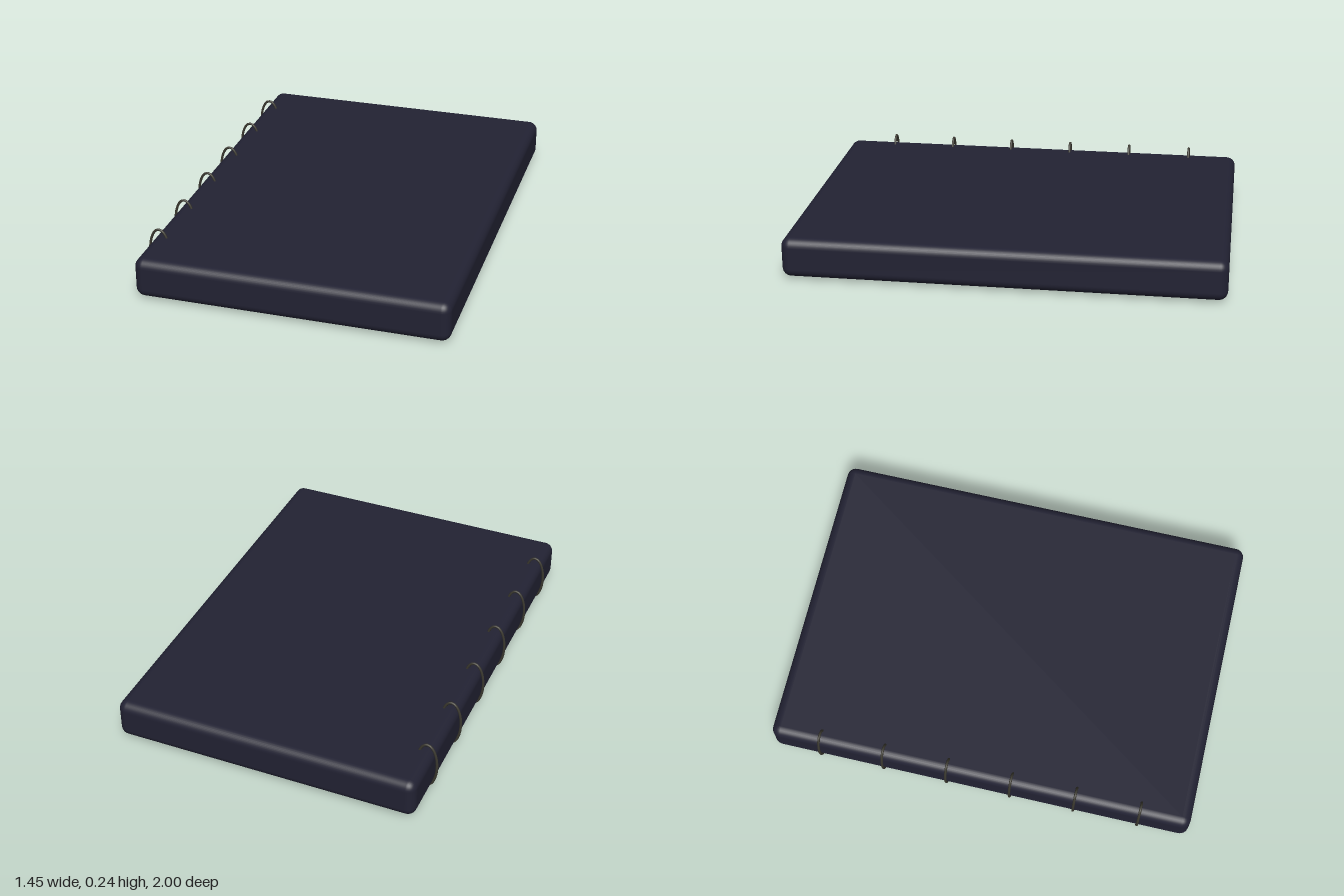
import * as THREE from 'three';
import { RoundedBoxGeometry } from 'three/addons/geometries/RoundedBoxGeometry.js';

export function createModel() {
  const model = new THREE.Group();
  model.name = 'ringNotebook';

  const coverMat = new THREE.MeshStandardMaterial({ color: 0x222233 });
  coverMat.name = 'dark navy cover';
  const ringMat = new THREE.MeshStandardMaterial({ color: 0x3a382f });
  ringMat.name = 'dark bronze wire';

  // Closed cover block with softly rounded edges
  const cover = new THREE.Mesh(new RoundedBoxGeometry(1.43, 0.186, 2, 4, 0.042), coverMat);
  cover.name = 'cover';
  cover.position.set(0.011, 0.104, 0);
  model.add(cover);

  // Oval wire loop, taller than wide, standing across the spine
  class OvalCurve extends THREE.Curve {
    getPoint(t, target = new THREE.Vector3()) {
      const a = t * Math.PI * 2;
      return target.set(Math.cos(a) * 0.047, Math.sin(a) * 0.114, 0);
    }
  }
  const ringGeo = new THREE.TubeGeometry(new OvalCurve(), 40, 0.006, 8, true);

  // Six evenly spaced binding rings
  const rings = new THREE.Group();
  rings.name = 'bindingRings';
  for (let i = 0; i < 6; i++) {
    const ring = new THREE.Mesh(ringGeo, ringMat);
    ring.name = `bindingRing${i + 1}`;
    ring.position.set(-0.673, 0.12, (i - 2.5) * 0.305);
    rings.add(ring);
  }
  model.add(rings);

  return model;
}
